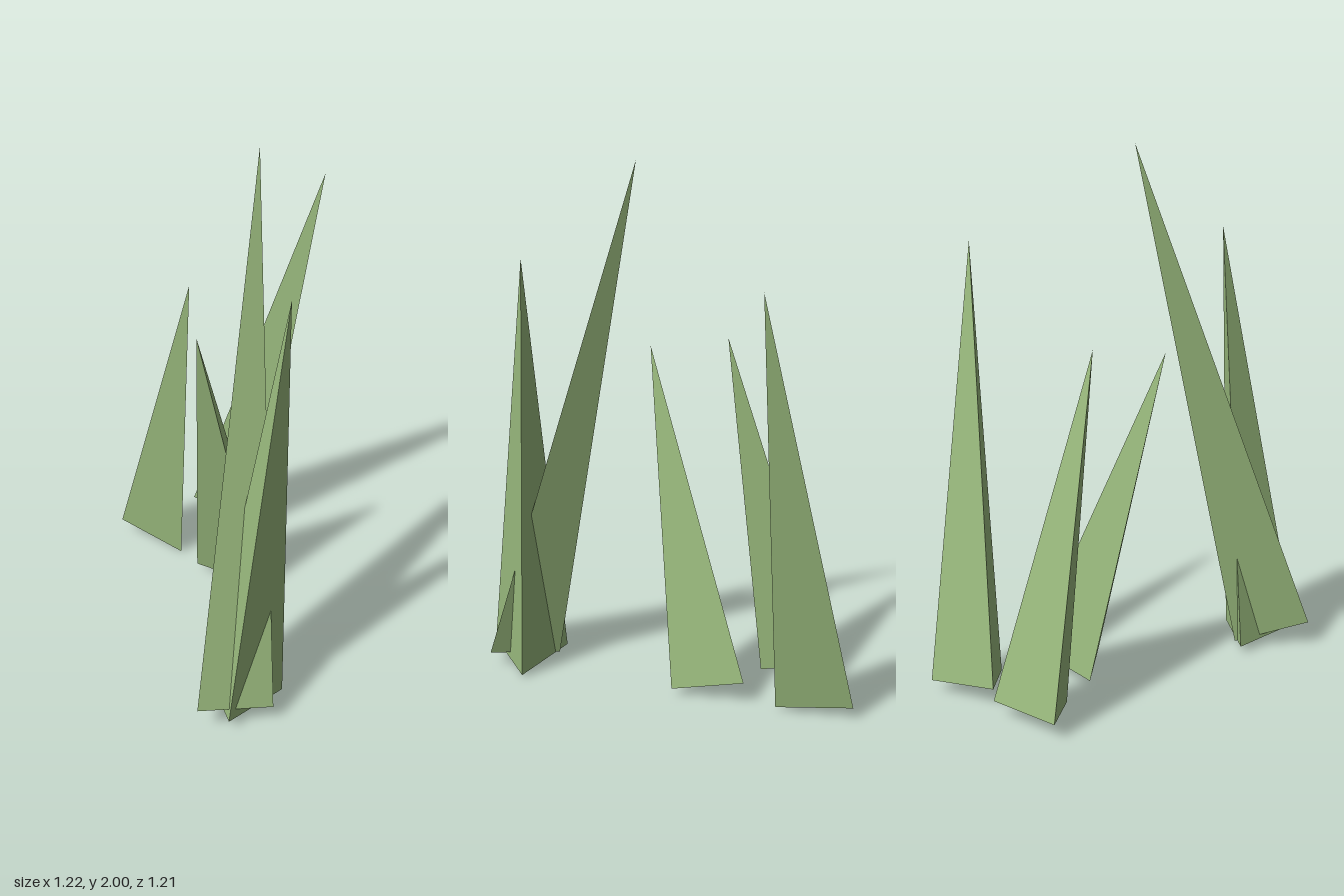
import * as THREE from 'three';

const leafGreen = new THREE.MeshStandardMaterial({ color: 0x98b87c });
leafGreen.name = 'leafGreen';

// Each blade: tip, then three base corners, counterclockwise seen from above
const blades = {
  tallLeaningBlade: [[0.015, 2, 0.15], [-0.61, 0.1, 0.44], [-0.38, 0.065, 0.6], [-0.345, 0.025, 0.325]],
  rightUprightBlade: [[-0.21, 1.645, 0.495], [-0.53, 0.045, 0.52], [-0.245, 0.012, 0.525], [-0.385, 0.03, 0.275]],
  middleBlade: [[-0.155, 1.28, 0.015], [0.06, 0.03, -0.2], [0.135, 0.025, 0.075], [0.33, 0.09, -0.125]],
  backBlade: [[0.038, 1.33, -0.205], [0.032, 0.06, -0.605], [0.1, 0, -0.33], [0.305, 0.063, -0.525]],
  leftUprightBlade: [[0.59, 1.64, -0.035], [0.33, 0.08, -0.475], [0.42, 0.015, -0.21], [0.605, 0.045, -0.43]],
};

// Three-sided spike with flat faces and a closed base
function bladeGeometry([tip, a, b, c]) {
  const faces = [a, b, tip, b, c, tip, c, a, tip, a, c, b];
  const geometry = new THREE.BufferGeometry();
  geometry.setAttribute('position', new THREE.Float32BufferAttribute(faces.flat(), 3));
  geometry.computeVertexNormals();
  return geometry;
}

export function createModel() {
  const group = new THREE.Group();
  group.name = 'grassTuft';
  for (const [name, corners] of Object.entries(blades)) {
    const mesh = new THREE.Mesh(bladeGeometry(corners), leafGreen);
    mesh.name = name;
    group.add(mesh);
  }
  return group;
}
